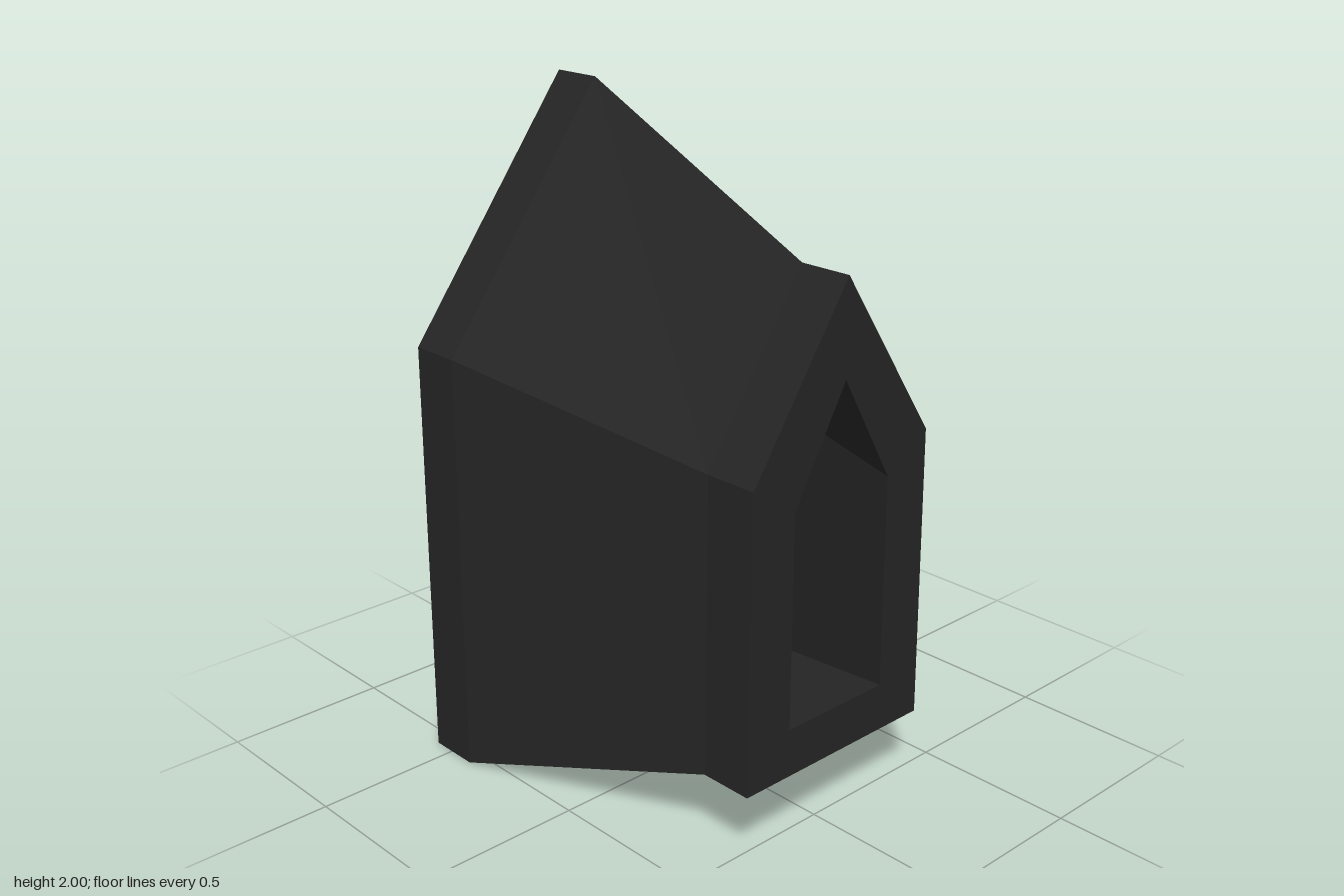
import * as THREE from 'three';

// Five-cornered pointed-arch section, counter-clockwise seen from the front
function section(z, bottomHalf, shoulderHalf, bottom, shoulder, apex) {
  return [
    [-bottomHalf, bottom, z], [bottomHalf, bottom, z],
    [shoulderHalf, shoulder, z], [0, apex, z], [-shoulderHalf, shoulder, z],
  ];
}

// Skin between consecutive sections, with flat facets
function loft(sections) {
  const pos = [];
  for (let s = 0; s + 1 < sections.length; s++) {
    const a = sections[s], b = sections[s + 1];
    for (let i = 0; i < a.length; i++) {
      const j = (i + 1) % a.length;
      pos.push(...a[i], ...b[i], ...a[j], ...a[j], ...b[i], ...b[j]);
    }
  }
  const geo = new THREE.BufferGeometry();
  geo.setAttribute('position', new THREE.Float32BufferAttribute(pos, 3));
  geo.computeVertexNormals();
  return geo;
}

export function createModel() {
  const group = new THREE.Group();
  group.name = 'windowEmbrasure';
  const darkStone = new THREE.MeshStandardMaterial({ color: 0x252525 });
  darkStone.name = 'darkStone';
  const add = (name, sections) => {
    const mesh = new THREE.Mesh(loft(sections), darkStone);
    mesh.name = name;
    group.add(mesh);
  };

  // Outer sections: straight collar at each end, flared in between
  const front = [0.345, 0.335, 0.235, 1.12, 1.62];
  const back = [0.55, 0.54, 0, 1.28, 2];
  const outer = [
    section(0.57, ...front), section(0.405, ...front),
    section(-0.41, ...back), section(-0.57, ...back),
  ];
  // Opening sections, wide at the back and narrow at the front
  const innerBack = section(-0.57, 0.375, 0.37, 0.18, 1.16, 1.70);
  const innerFront = section(0.57, 0.185, 0.182, 0.38, 1.02, 1.34);

  add('frontCollar', [outer[0], outer[1]]);
  add('flaredBody', [outer[1], outer[2]]);
  add('backCollar', [outer[2], outer[3]]);
  add('backRim', [outer[3], innerBack]);
  add('openingWalls', [innerBack, innerFront]);
  add('frontRim', [innerFront, outer[0]]);
  return group;
}
